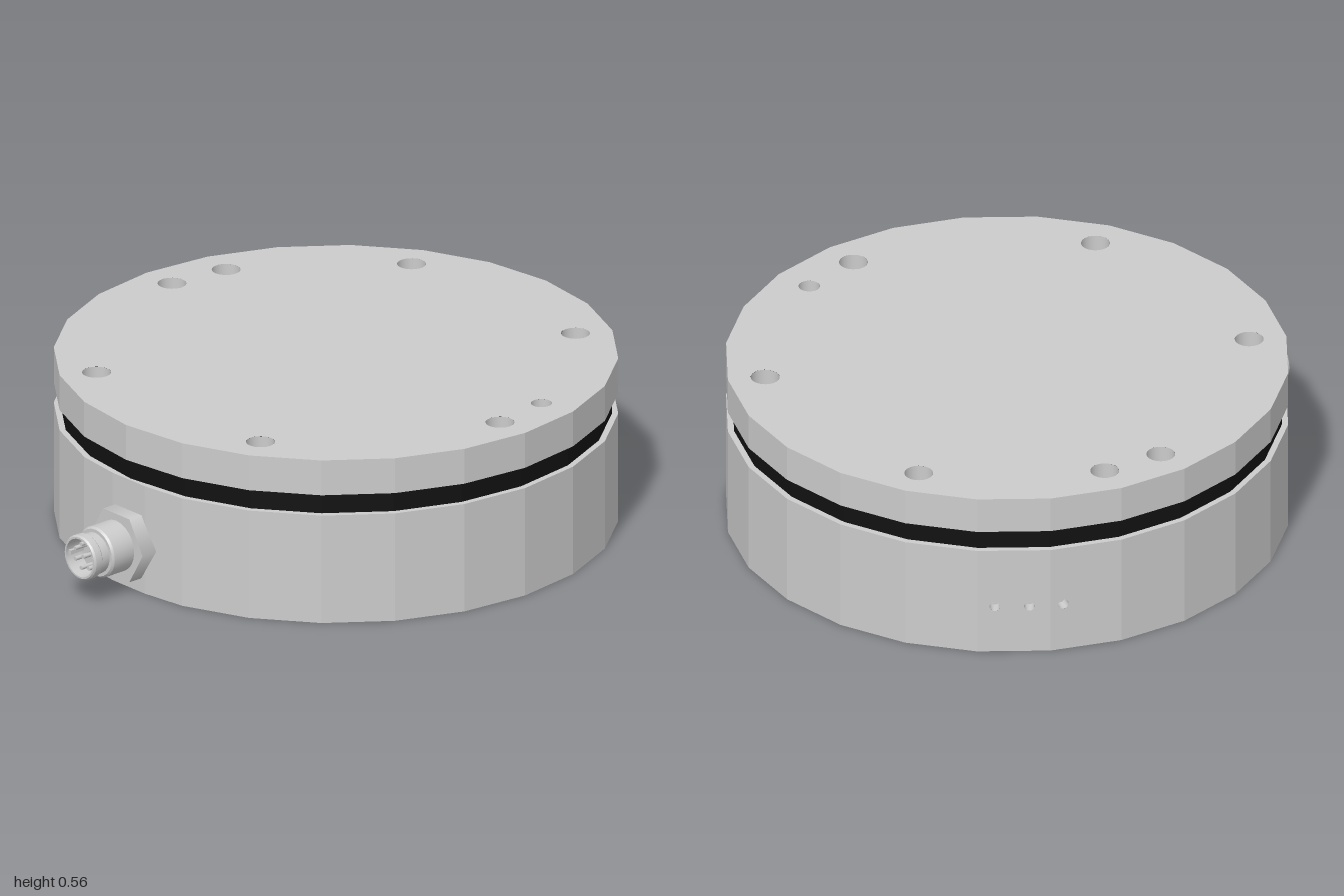
import * as THREE from 'three';
import { mergeGeometries, toCreasedNormals } from 'three/addons/utils/BufferGeometryUtils.js';

const SIDES = 24, R = 0.9, CZ = -0.1;
const grey = new THREE.MeshStandardMaterial({ color: 0xcccccc });
const greyDouble = new THREE.MeshStandardMaterial({ color: 0xcccccc, side: THREE.DoubleSide });
const black = new THREE.MeshStandardMaterial({ color: 0x111111 });

function add(parent, name, geometry, material = grey) {
  const mesh = new THREE.Mesh(geometry, material);
  mesh.name = name;
  parent.add(mesh);
  return mesh;
}

// Outline of the disc as [x, z] corners
function ring(r) {
  return Array.from({ length: SIDES }, (_, i) => {
    const a = (i / SIDES) * Math.PI * 2;
    return [r * Math.sin(a), r * Math.cos(a)];
  });
}

function shapeOf(points, holes) {
  const shape = new THREE.Shape(points.map(([x, y]) => new THREE.Vector2(x, y)));
  for (const [x, y, r] of holes) shape.holes.push(new THREE.Path().absarc(x, y, r, 0, Math.PI * 2, true));
  return new THREE.ShapeGeometry(shape, 20);
}

// Blind hole opening towards +y
function well(r, depth) {
  const wall = new THREE.CylinderGeometry(r, r, depth, 20, 1, true).translate(0, -depth / 2, 0);
  const floor = new THREE.CircleGeometry(r, 20).rotateX(-Math.PI / 2).translate(0, -depth, 0);
  return mergeGeometries([wall, floor]);
}

// Faceted disc with drilled caps; sideHoles maps a facet index to [offset, height, radius]
function drum(name, points, y0, y1, { top = [], bottom = [], sideHoles = {}, depth = 0.1, material = grey } = {}) {
  const group = new THREE.Group();
  group.name = name;
  const h = y1 - y0;
  const flip = ([x, z, r]) => [x, -z, r];
  const faces = [
    shapeOf(points.map(flip), top.map(flip)).rotateX(-Math.PI / 2).translate(0, y1, 0),
    shapeOf(points, bottom).rotateX(Math.PI / 2).translate(0, y0, 0),
  ];
  points.forEach(([ax, az], i) => {
    const [bx, bz] = points[(i + 1) % points.length];
    const w = Math.hypot(bx - ax, bz - az) / 2;
    const turn = Math.atan2(az - bz, bx - ax);
    const drilled = sideHoles[i] || [];
    const place = (g) => g.rotateY(turn).translate((ax + bx) / 2, y0, (az + bz) / 2);
    faces.push(place(shapeOf([[-w, 0], [w, 0], [w, h], [-w, h]], drilled)));
    for (const [x, y, r] of drilled) {
      add(group, 'sideHole', place(well(r, 0.04).rotateX(Math.PI / 2).translate(x, y, 0)), greyDouble);
    }
  });
  add(group, name + 'Shell', mergeGeometries(faces), material);
  for (const [x, z, r] of top) add(group, 'topHole', well(r, depth).translate(x, y1, z), greyDouble);
  for (const [x, z, r] of bottom) add(group, 'bottomHole', well(r, depth).rotateX(Math.PI).translate(x, y0, z), greyDouble);
  return group;
}

function connector() {
  const group = new THREE.Group();
  group.name = 'connector';
  add(group, 'hexNut', new THREE.CylinderGeometry(0.125, 0.125, 0.06, 6).rotateY(Math.PI / 2)
    .rotateX(Math.PI / 2).translate(0, 0, 0.812).toNonIndexed());

  // Stepped sleeve with a groove and an open socket
  const profile = [[0.085, 0.83], [0.085, 0.925], [0.079, 0.932], [0.068, 0.932], [0.068, 0.962], [0.075, 0.969],
    [0.075, 0.994], [0.07, 1], [0.064, 1], [0.061, 0.935], [0, 0.935]].map(([r, z]) => new THREE.Vector2(r, z));
  const sleeve = new THREE.LatheGeometry(profile, 24).rotateX(Math.PI / 2);
  add(group, 'sleeve', toCreasedNormals(sleeve, 0.6), greyDouble);

  // One middle pin and seven around it
  for (let i = 0; i < 8; i++) {
    const a = (i / 7) * Math.PI * 2, r = i === 7 ? 0 : 0.042;
    add(group, 'pin', new THREE.CylinderGeometry(0.007, 0.007, 0.05, 10).rotateX(Math.PI / 2)
      .translate(r * Math.cos(a), r * Math.sin(a), 0.96));
  }
  add(group, 'key', new THREE.BoxGeometry(0.012, 0.014, 0.055)).position.set(-0.057, 0, 0.962);
  group.position.y = 0.157;
  return group;
}

export function createModel() {
  const model = new THREE.Group();
  model.name = 'sensorDisc';

  // Six mounting holes and two locating holes
  const bolts = Array.from({ length: 6 }, (_, i) => {
    const a = (i * Math.PI) / 3;
    return [0.78 * Math.cos(a), 0.78 * Math.sin(a), 0.046];
  });
  const locators = (r) => [[-0.75, -0.205, 0.046], [0.75, -0.205, r]];

  // Lower body has a small flat behind the connector
  const bodyOutline = ring(R);
  bodyOutline[0] = [0.076, 0.89];
  bodyOutline.push([-0.076, 0.89]);

  const discs = new THREE.Group();
  discs.name = 'discs';
  discs.position.z = CZ;
  discs.add(
    drum('body', bodyOutline, 0, 0.37, {
      bottom: [...bolts, ...locators(0.046)],
      sideHoles: { 15: [[-0.06, 0.165, 0.017], [0.05, 0.165, 0.017]], 16: [[-0.075, 0.165, 0.017]] },
    }),
    drum('sealBand', ring(0.88), 0.37, 0.44, { material: black }),
    drum('topPlate', ring(R), 0.44, 0.56, { top: [...bolts, ...locators(0.034)] }),
  );
  model.add(discs, connector());
  return model;
}
